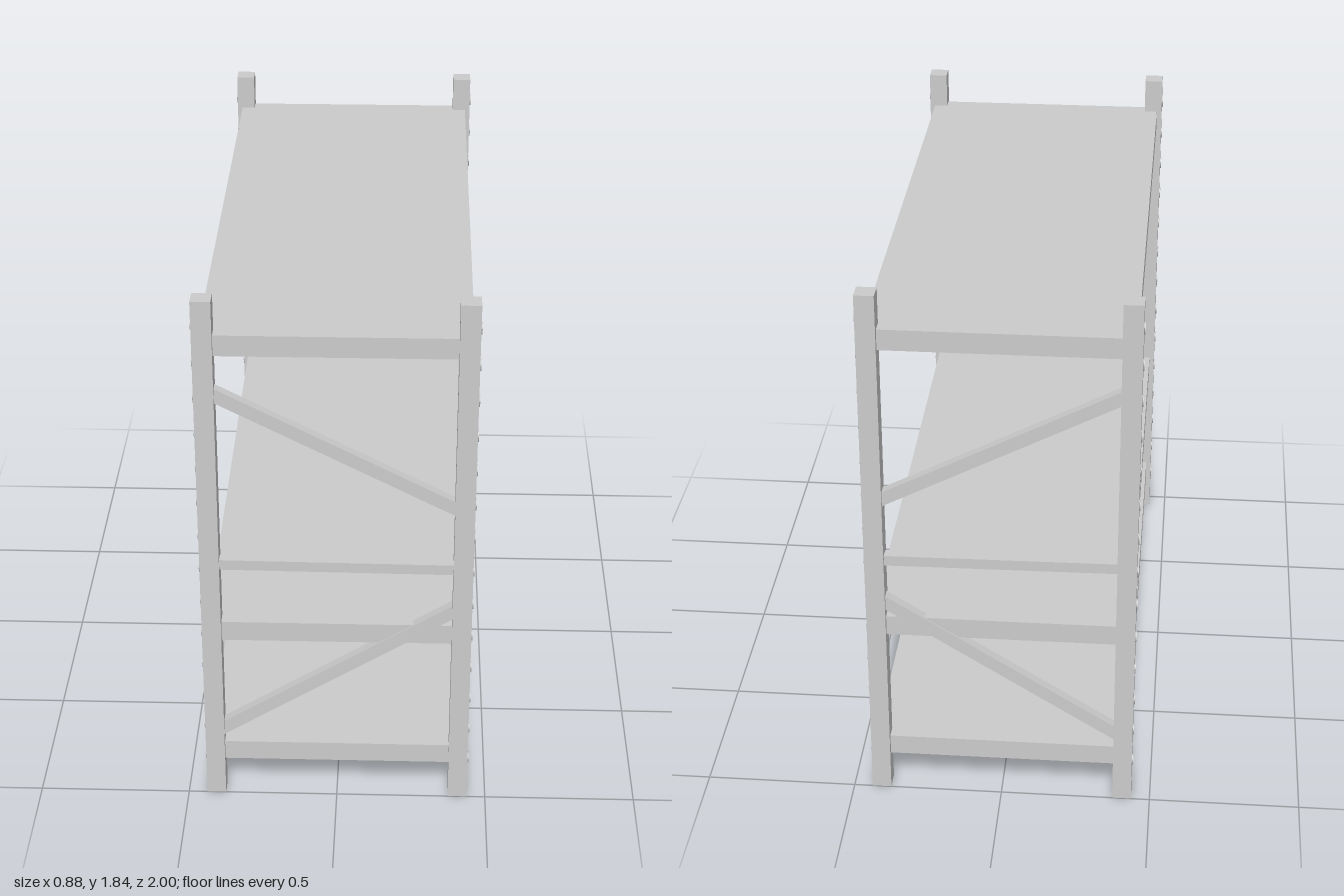
import * as THREE from 'three';

const grey = new THREE.MeshStandardMaterial({ color: 0xcccccc, flatShading: true });
const thin = new THREE.MeshStandardMaterial({ color: 0xcccccc, side: THREE.DoubleSide });

const POST = 0.063, HEIGHT = 1.84, POST_X = 0.406, POST_Z = 0.968;

function box(name, w, h, d, x, y, z) {
  const mesh = new THREE.Mesh(new THREE.BoxGeometry(w, h, d), grey);
  mesh.name = name;
  mesh.position.set(x, y, z);
  return mesh;
}

// open teardrop collar around a slot, narrowing downwards
function slotGeometry() {
  const geo = new THREE.CylinderGeometry(0.015, 0.015, 0.006, 16, 1, true);
  geo.rotateZ(Math.PI / 2);
  const p = geo.attributes.position;
  for (let i = 0; i < p.count; i++) {
    const y = p.getY(i);
    if (y < 0) {
      p.setY(i, y * 1.7);
      p.setZ(i, p.getZ(i) * (1 + 0.5 * y / 0.015));
    }
  }
  geo.computeVertexNormals();
  return geo;
}

// upright with a column of slots on its outer side
function makePost(sx, sz, slotGeo) {
  const post = new THREE.Group();
  post.name = 'post';
  post.add(box('upright', POST, HEIGHT, POST, sx * POST_X, HEIGHT / 2, sz * POST_Z));
  for (let i = 0; i < 14; i++) {
    const slot = new THREE.Mesh(slotGeo, thin);
    slot.name = 'slotCollar';
    slot.position.set(sx * (POST_X + POST / 2 + 0.001), 0.145 + i * 0.1238, sz * POST_Z);
    post.add(slot);
  }
  return post;
}

// shelf with its top at the given height; a hollow one has a rim below its panel
function makeShelf(top, hollow) {
  const shelf = new THREE.Group();
  shelf.name = 'shelf';
  const w = 0.84, d = 1.964, h = 0.07, rim = 0.035, panel = 0.03;
  if (!hollow) {
    shelf.add(box('board', w, h, d, 0, top - h / 2, 0));
    return shelf;
  }
  shelf.add(box('panel', w, panel, d, 0, top - panel / 2, 0));
  const rh = h - panel, ry = top - panel - rh / 2;
  for (const s of [-1, 1]) {
    shelf.add(box('sideBeam', rim, rh, d, s * (w - rim) / 2, ry, 0));
    shelf.add(box('endBeam', w - 2 * rim, rh, rim, 0, ry, s * (d - rim) / 2));
  }
  return shelf;
}

// bar between the two posts of one end frame
function makeBrace(name, yLeft, yRight, thickness, z) {
  const dx = 0.75, dy = yRight - yLeft;
  const bar = box(name, Math.hypot(dx, dy) + 0.03, thickness, 0.034, 0, (yLeft + yRight) / 2, z);
  bar.rotation.z = Math.atan2(dy, dx);
  return bar;
}

export function createModel() {
  const rack = new THREE.Group();
  rack.name = 'shelvingRack';
  const slotGeo = slotGeometry();

  for (const sz of [-1, 1]) {
    for (const sx of [-1, 1]) rack.add(makePost(sx, sz, slotGeo));
    const z = sz * 0.971;
    rack.add(makeBrace('upperBrace', 1.515, 1.125, 0.044, z));
    rack.add(makeBrace('middleBrace', 0.903, 0.897, 0.036, z));
    rack.add(makeBrace('lowerBrace', 0.26, 0.735, 0.044, z));
  }

  rack.add(makeShelf(0.2, false), makeShelf(0.68, true), makeShelf(1.72, true));
  return rack;
}
